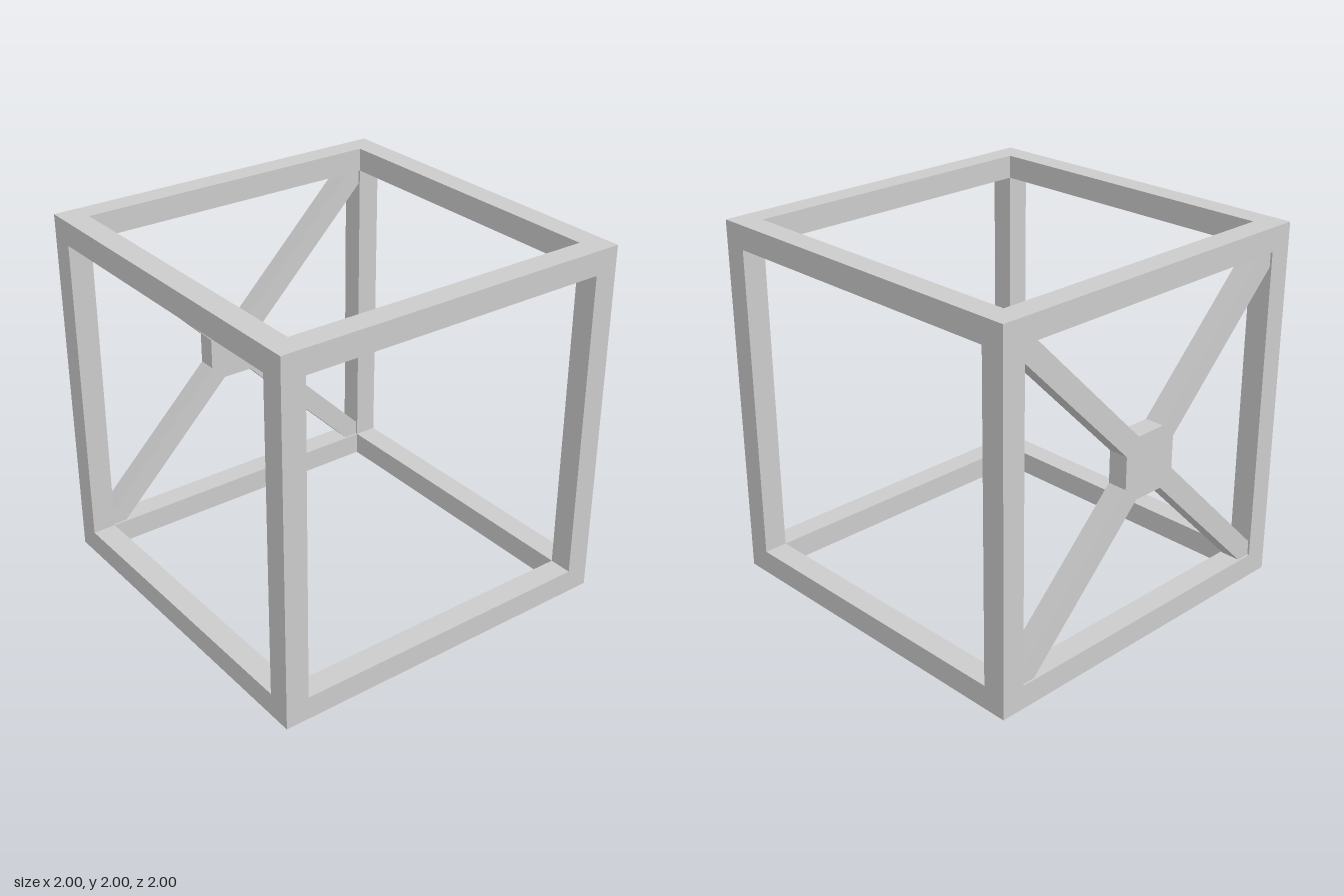
import * as THREE from 'three';

const HALF = 1;               // half of the cube's side
const BAR = 0.13;             // thickness of the frame bars
const INNER = HALF - BAR;     // half of each opening

const material = new THREE.MeshStandardMaterial({ color: 0xcccccc, flatShading: true });

function addMesh(parent, name, geometry, x, y, z) {
  const mesh = new THREE.Mesh(geometry, material);
  mesh.name = name;
  mesh.position.set(x, y, z);
  parent.add(mesh);
  return mesh;
}

const square = (h) => [[-h, -h], [h, -h], [h, h], [-h, h]].map(([x, y]) => new THREE.Vector2(x, y));

// Square ring, the four bars of one face
function ringGeometry() {
  const shape = new THREE.Shape(square(HALF));
  shape.holes.push(new THREE.Path(square(INNER).reverse()));
  return new THREE.ExtrudeGeometry(shape, { depth: BAR, bevelEnabled: false });
}

// Diagonal cross with a square hub; one arm's outline turned four times
function crossGeometry(depth) {
  const hub = 0.17, cut = 0.082;
  const arm = [
    [hub, hub - cut], [INNER, INNER - cut], [INNER, INNER],
    [INNER - cut, INNER], [hub - cut, hub],
  ];
  const points = [];
  for (let i = 0; i < 4; i++) {
    for (const [x, y] of arm) {
      points.push(new THREE.Vector2(x, y).rotateAround(new THREE.Vector2(), i * Math.PI / 2));
    }
  }
  return new THREE.ExtrudeGeometry(new THREE.Shape(points), { depth, bevelEnabled: false });
}

export function createModel() {
  const model = new THREE.Group();
  model.name = 'bracedCubeFrame';

  // Front and back rings
  const ring = ringGeometry();
  addMesh(model, 'frontRing', ring, 0, HALF, INNER);
  addMesh(model, 'backRing', ring, 0, HALF, -HALF);

  // Four bars joining the rings along z
  const bar = new THREE.BoxGeometry(BAR, BAR, 2 * INNER);
  const offset = HALF - BAR / 2;
  for (const [side, sx] of [['left', 1], ['right', -1]]) {
    for (const [level, sy] of [['Top', 1], ['Bottom', -1]]) {
      addMesh(model, `${side}${level}Bar`, bar, sx * offset, HALF + sy * offset, 0);
    }
  }

  // Cross brace set slightly into the back ring
  const depth = 0.108;
  addMesh(model, 'backCrossBrace', crossGeometry(depth), 0, HALF, -offset - depth / 2);

  return model;
}
